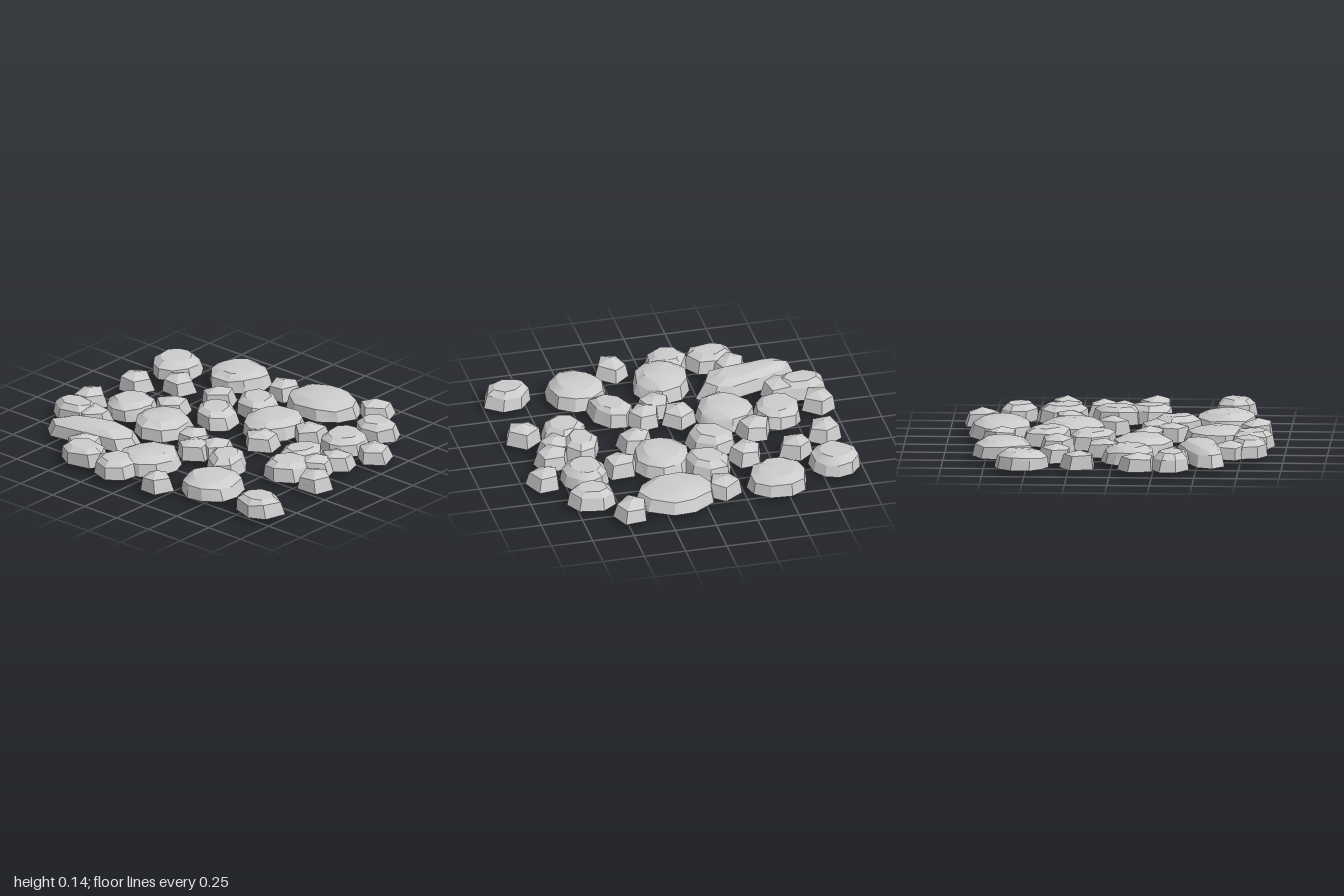
import * as THREE from 'three';
import { toCreasedNormals } from 'three/addons/utils/BufferGeometryUtils.js';

const BASE = 0.03, TOP = 0.142;

// Small pebbles: x, z, turn
const PEBBLES = [
  [-0.16, -0.9, 0.1], [0.19, -0.85, 0], [0.33, -0.64, 0], [0.06, -0.46, 0.65], [0.34, -0.34, 0.55],
  [-0.68, -0.49, 0.63], [-0.35, -0.71, 0.6], [0.68, -0.12, 0], [-0.19, -0.06, 0], [-0.32, 0.05, 0.63],
  [-0.22, 0.14, 0.5], [-0.81, 0.19, 0], [0.04, 0.26, 0.75], [0.3, 0.41, 0.6], [0.82, 0.47, 0.5],
  [0.12, 0.78, 0.63], [0, 0.73, 0.6], [-0.19, 0.88, 0], [0.34, 0.88, 0.55],
];

// Medium stones: x, z, radius along, radius across, turn
const MEDIUM = [
  [-0.35, -0.84, 0.165, 0.12, 1.57], [-0.79, -0.4, 0.15, 0.12, 1.5], [-0.8, -0.14, 0.14, 0.13, 0.3],
  [0.14, -0.18, 0.16, 0.13, -0.8], [0.41, -0.09, 0.16, 0.13, -0.75], [-0.335, 0.31, 0.16, 0.12, -0.5],
  [-0.16, 0.64, 0.15, 0.14, 0.3], [0.025, 0.585, 0.155, 0.115, 0.25], [0.61, 0.66, 0.145, 0.12, 1.57],
  [-0.66, 0.86, 0.15, 0.13, 1.3],
];

// Large stones: x, z, radius along, radius across, turn
const LARGE = [
  [0.525, -0.83, 0.16, 0.15, 0], [-0.095, -0.64, 0.16, 0.147, 0.1], [-0.165, -0.335, 0.185, 0.175, 0],
  [0.655, -0.45, 0.185, 0.18, 0.4], [-0.595, -0.06, 0.2, 0.175, 0.15], [0.27, 0.155, 0.207, 0.17, 0.12],
  [0.69, 0.175, 0.24, 0.19, 1.5], [-0.62, 0.45, 0.19, 0.183, 0.2], [0.35, 0.635, 0.157, 0.142, 0],
];

// Long slab outline (x, z)
const SLAB = [
  [-0.354, -0.42], [-0.376, -0.31], [-0.47, -0.24], [-0.59, -0.32], [-0.645, -0.61],
  [-0.67, -0.78], [-0.6, -0.86], [-0.51, -0.82], [-0.42, -0.63],
];

let seed = 7;
function rand(a, b) {
  seed = (seed * 16807) % 2147483647;
  return a + (b - a) * (seed / 2147483647);
}

// Irregular ellipse outline, slightly varied in spacing and radius
function outline(x, z, rx, rz, turn, sides, wobble) {
  const pts = [];
  for (let i = 0; i < sides; i++) {
    const a = ((i + rand(-wobble, wobble)) / sides) * Math.PI * 2;
    const k = rand(0.97, 1.04);
    const u = Math.cos(a) * rx * k, v = Math.sin(a) * rz * k;
    pts.push([x + u * Math.cos(turn) - v * Math.sin(turn), z + u * Math.sin(turn) + v * Math.cos(turn)]);
  }
  return pts;
}

// Open-bottomed stone: stacked rings over an outline, closed by one peak.
// Each level is [scale, height, height variation]; baseY may lower single points.
function stone(name, pts, levels, material, crease, baseY = () => BASE) {
  const n = pts.length;
  const cx = pts.reduce((s, p) => s + p[0], 0) / n;
  const cz = pts.reduce((s, p) => s + p[1], 0) / n;
  const pos = [], index = [];
  pts.forEach(([x, z]) => pos.push(x, baseY(x, z), z));
  for (const [scale, y, dy] of levels) {
    for (const [x, z] of pts) {
      const s = scale * rand(0.95, 1.05);
      pos.push(cx + (x - cx) * s - 0.008, y + rand(-dy, dy), cz + (z - cz) * s - 0.006);
    }
  }
  for (let l = 0; l < levels.length; l++) {
    for (let i = 0; i < n; i++) {
      const a = l * n + i, b = l * n + (i + 1) % n;
      if ((i + l) % 2) index.push(a, a + n, b + n, a, b + n, b);
      else index.push(a, a + n, b, b, a + n, b + n);
    }
  }
  const peak = pos.length / 3, last = levels.length * n;
  pos.push(cx - 0.01, TOP - rand(0, 0.006), cz - 0.005);
  for (let i = 0; i < n; i++) index.push(last + i, peak, last + (i + 1) % n);

  const geo = new THREE.BufferGeometry();
  geo.setAttribute('position', new THREE.Float32BufferAttribute(pos, 3));
  geo.setIndex(index);
  const mesh = new THREE.Mesh(toCreasedNormals(geo, crease), material);
  mesh.name = name;
  return mesh;
}

export function createModel() {
  const group = new THREE.Group();
  group.name = 'steppingStones';
  const material = new THREE.MeshStandardMaterial({ color: 0xcccccc, side: THREE.DoubleSide });

  // Five-sided pebbles with a pointed top
  for (const [x, z, turn] of PEBBLES) {
    group.add(stone('pebble', outline(x, z, 0.113, 0.108, turn, 5, 0.08),
      [[0.82, 0.108, 0.008]], material, 0.2));
  }
  // Medium stones with a small flat cap
  for (const [x, z, rx, rz, turn] of MEDIUM) {
    group.add(stone('mediumStone', outline(x, z, rx, rz, turn, 7, 0.12),
      [[0.88, 0.105, 0.008], [0.6, 0.133, 0.003]], material, 0.3));
  }
  // Large stones with a broad smooth top
  for (const [x, z, rx, rz, turn] of LARGE) {
    group.add(stone('largeStone', outline(x, z, rx, rz, turn, 10, 0.15),
      [[0.91, 0.1, 0.008], [0.62, 0.131, 0.003]], material, 0.45));
  }
  // Long slab whose front end dips to the ground
  group.add(stone('longSlab', SLAB, [[0.86, 0.1, 0.006], [0.55, 0.133, 0.003]], material, 0.4,
    (x, z) => (z > -0.35 && x > -0.5 ? 0 : BASE)));
  return group;
}
